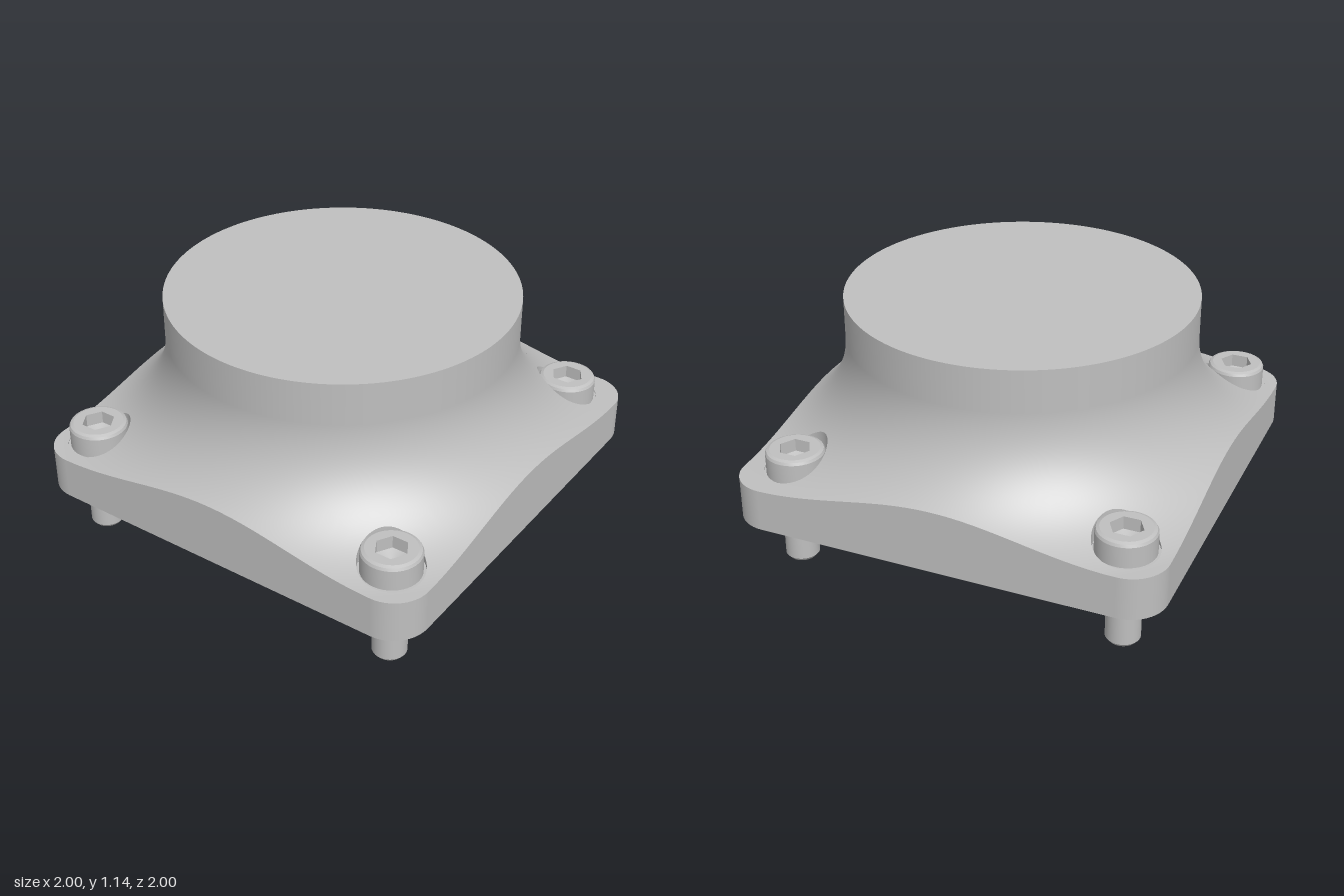
import * as THREE from 'three';
import { toCreasedNormals } from 'three/addons/utils/BufferGeometryUtils.js';

const NECK_R = 0.8, FILLET = 0.5, FILLET_Y = 0.945, TOP_Y = 1.143;
const BASE_Y = 0.246, FLOOR_Y = 0.445, CORNER = 0.17, BORE_R = 0.145;

// height and normal of the concave fillet that sweeps from neck to flange
function fillet(x, z) {
  const r = Math.hypot(x, z);
  const d = THREE.MathUtils.clamp(NECK_R + FILLET - r, 0, FILLET);
  const h = Math.sqrt(FILLET * FILLET - d * d);
  return { y: FILLET_Y - h, n: [(x / r) * d / FILLET, h / FILLET, (z / r) * d / FILLET] };
}

// grid surface; fn(i, j) gives [position, normal] in one quadrant, mirrored by sx, sz
function gridSurface(nu, nv, sx, sz, fn) {
  const pos = [], nor = [], idx = [];
  for (let i = 0; i <= nu; i++) for (let j = 0; j <= nv; j++) {
    const [p, n] = fn(i, j);
    pos.push(p[0] * sx, p[1], p[2] * sz);
    nor.push(n[0] * sx, n[1], n[2] * sz);
    if (i === nu || j === nv) continue;
    const a = i * (nv + 1) + j, d = a + 1, b = a + nv + 1, c = b + 1;
    if (sx * sz > 0) idx.push(a, d, c, a, c, b);
    else idx.push(a, c, d, a, b, c);
  }
  const g = new THREE.BufferGeometry();
  g.setAttribute('position', new THREE.Float32BufferAttribute(pos, 3));
  g.setAttribute('normal', new THREE.Float32BufferAttribute(nor, 3));
  g.setIndex(idx);
  return g;
}

// n points of a curve for t in [0, 1)
const sample = (n, fn) => Array.from({ length: n }, (_, i) => fn(i / n));

function quadrantOutline() {
  const q = Math.PI / 2, k = 1 - CORNER;
  const inner = sample(40, t => [NECK_R * Math.cos(t * q), NECK_R * Math.sin(t * q)]);
  const seamA = sample(12, t => [0, NECK_R + 0.2 * t * t]);
  const outer = [
    ...sample(32, t => [k * t, 1]),
    ...sample(12, t => [k + CORNER * Math.sin(t * q), k + CORNER * Math.cos(t * q)]),
    ...sample(32, t => [1, k * (1 - t)]),
    [1, 0],
  ];
  const seamB = sample(12, t => [NECK_R + 0.2 * (1 - t) ** 2, 0]).slice(1);
  return { outer, loop: [...inner, ...seamA, ...outer, ...seamB, inner[0]] };
}

function roundedSquare() {
  const s = new THREE.Shape(), k = 1 - CORNER, q = Math.PI / 2;
  [[k, k], [-k, k], [-k, -k], [k, -k]].forEach(([x, y], i) =>
    s.absarc(x, y, CORNER, i * q, (i + 1) * q, false));
  return s;
}

function createBolt(mat) {
  const bolt = new THREE.Group();
  bolt.name = 'socketBolt';
  const add = (name, g) => {
    const m = new THREE.Mesh(g, mat);
    m.name = name;
    bolt.add(m);
    return m;
  };
  const lathe = pts => toCreasedNormals(
    new THREE.LatheGeometry(pts.map(p => new THREE.Vector2(...p)), 40), 0.4);
  // chamfered shank and cap head
  add('shank', lathe([[0, 0], [0.062, 0], [0.077, 0.018], [0.077, 0.45]]));
  add('head', lathe([[0.077, FLOOR_Y], [0.133, FLOOR_Y], [0.133, 0.542], [0.127, 0.554], [0.113, 0.56]]));
  // head top with hexagonal socket
  const face = new THREE.Shape().absarc(0, 0, 0.113, 0, Math.PI * 2, false);
  const hex = sample(6, t => new THREE.Vector2(
    0.075 * Math.cos(t * Math.PI * 2), 0.075 * Math.sin(t * Math.PI * 2)));
  face.holes.push(new THREE.Path(hex));
  const socket = new THREE.ExtrudeGeometry(face, { depth: 0.06, bevelEnabled: false, curveSegments: 20 });
  socket.rotateX(-Math.PI / 2).translate(0, 0.5, 0);
  add('hexSocket', socket);
  add('socketBottom', lathe([[0.08, 0.5], [0, 0.465]]));
  return bolt;
}

export function createModel() {
  const model = new THREE.Group();
  model.name = 'flangedCap';
  const metal = new THREE.MeshStandardMaterial({ color: 0xbfbfbf });
  metal.name = 'greyMetal';
  const add = (name, g) => {
    const m = new THREE.Mesh(g, metal);
    m.name = name;
    model.add(m);
    return m;
  };

  // round neck with closed top
  const neckH = TOP_Y - FILLET_Y;
  add('neck', new THREE.CylinderGeometry(NECK_R, NECK_R, neckH, 160)
    .translate(0, FILLET_Y + neckH / 2, 0));
  // flat underside
  add('underside', new THREE.ShapeGeometry(roundedSquare(), 12)
    .rotateX(Math.PI / 2).translate(0, BASE_Y, 0));

  const { outer, loop } = quadrantOutline();
  const last = loop.length - 1, STEPS = 20, k = 1 - CORNER;

  // four mirrored quadrants, one of them with its bolt slightly inward
  for (const [sx, sz, cx, cz] of [
    [1, 1, 0.8, 0.8], [-1, 1, 0.8, 0.8], [-1, -1, 0.8, 0.8], [1, -1, 0.766, 0.774],
  ]) {
    const rim = loop.map(([x, z]) => {
      const l = Math.hypot(x - 0.8, z - 0.8);
      const dx = (x - 0.8) / l, dz = (z - 0.8) / l;
      return { dx, dz, x: cx + BORE_R * dx, z: cz + BORE_R * dz };
    });
    // fillet surface between the bolt recess and the quadrant outline
    add('filletTop', gridSurface(last, STEPS, sx, sz, (i, j) => {
      const s = 1 - (1 - j / STEPS) ** 2;
      const x = THREE.MathUtils.lerp(rim[i].x, loop[i][0], s);
      const z = THREE.MathUtils.lerp(rim[i].z, loop[i][1], s);
      const f = fillet(x, z);
      return [[x, f.y, z], f.n];
    }));
    // recess wall and floor
    add('recessWall', gridSurface(last, 1, sx, sz, (i, j) => {
      const p = rim[i];
      return [[p.x, j ? fillet(p.x, p.z).y : FLOOR_Y, p.z], [-p.dx, 0, -p.dz]];
    }));
    add('recessFloor', new THREE.CircleGeometry(BORE_R, 40).rotateX(-Math.PI / 2))
      .position.set(cx * sx, FLOOR_Y, cz * sz);
    // flange side with rounded corner
    add('flangeSide', gridSurface(outer.length - 1, 1, sx, sz, (i, j) => {
      const [x, z] = outer[i];
      const nx = Math.max(0, x - k), nz = Math.max(0, z - k), l = Math.hypot(nx, nz);
      return [[x, j ? BASE_Y : fillet(x, z).y, z], [nx / l, 0, nz / l]];
    }));
    const bolt = createBolt(metal);
    bolt.position.set(cx * sx, 0, cz * sz);
    model.add(bolt);
  }
  return model;
}
